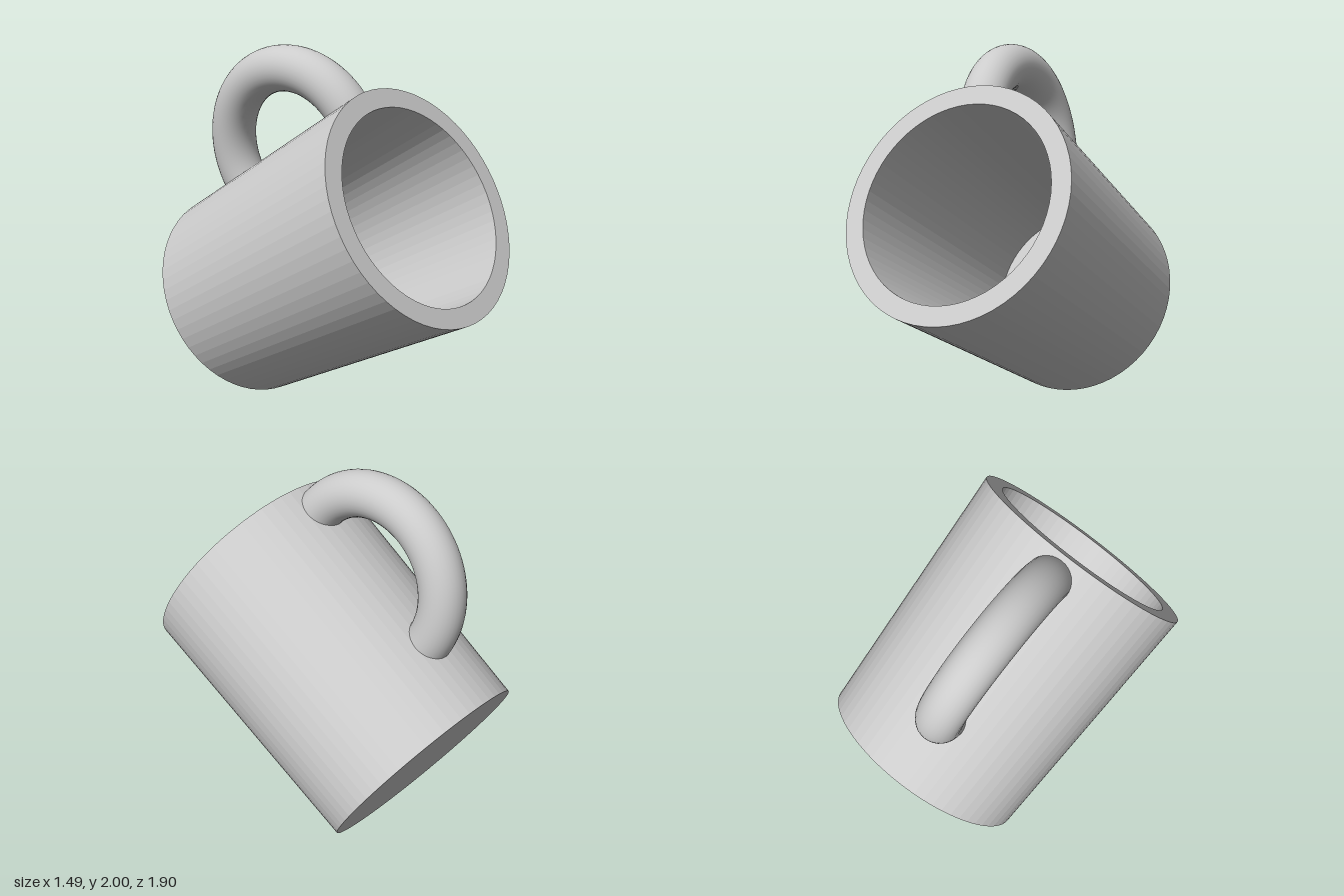
import * as THREE from 'three';

export function createModel() {
  const model = new THREE.Group();
  model.name = 'tiltedMug';

  const height = 1.473;

  // Body: closed wall profile with a slight taper, thin floor and flat rim
  const profile = [
    [0, 0], [0.595, 0], [0.642, height], [0.537, height], [0.486, 0.045], [0, 0.045],
  ].map(([r, y]) => new THREE.Vector2(r, y));
  const body = new THREE.Mesh(
    new THREE.LatheGeometry(profile, 64),
    new THREE.MeshStandardMaterial({ color: 0xcccccc, flatShading: true })
  );
  body.name = 'body';

  // Handle: half ring whose ends are buried in the wall
  const handle = new THREE.Mesh(
    new THREE.TorusGeometry(0.45, 0.122, 32, 64, Math.PI),
    new THREE.MeshStandardMaterial({ color: 0xcccccc })
  );
  handle.name = 'handle';
  handle.rotation.z = -Math.PI / 2;
  handle.position.set(0.565, 0.875, 0);

  // Lean the mug: its axis points up and forward, the handle points up and back
  const mug = new THREE.Group();
  mug.name = 'mug';
  mug.add(body, handle);
  const axis = new THREE.Vector3(0.185, 0.484, 0.855).normalize();
  const out = new THREE.Vector3(-0.257, 0.864, -0.433);
  out.addScaledVector(axis, -out.dot(axis)).normalize();
  const side = new THREE.Vector3().crossVectors(out, axis);
  mug.quaternion.setFromRotationMatrix(new THREE.Matrix4().makeBasis(out, axis, side));
  mug.position.set(-0.163, 0.522, -0.645);
  model.add(mug);

  return model;
}
